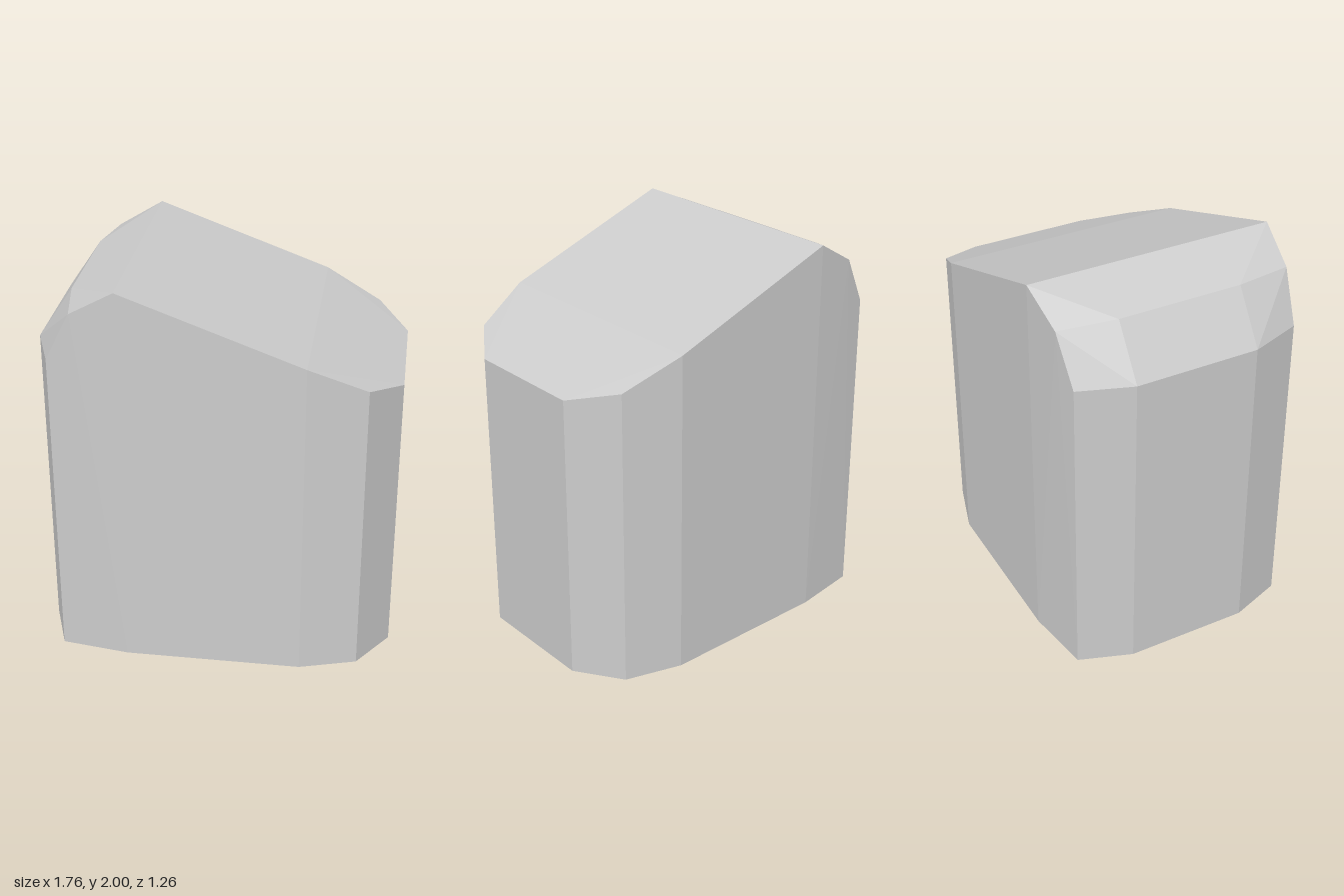
import * as THREE from 'three';
import { ConvexGeometry } from 'three/addons/geometries/ConvexGeometry.js';

// Faceted block with a chamfered footprint and an off-centre ridge on top.
export function createModel() {
  const group = new THREE.Group();
  group.name = 'slantedBlock';

  // Half footprint: [x, z, height of the wall above it]
  const walls = [
    [0.88, 0.315, 1.475],
    [0.725, 0.545, 1.54],
    [0.44, 0.63, 1.675],
    [-0.445, 0.63, 2],
    [-0.79, 0.58, 1.625],
    [-0.885, 0.315, 1.625],
  ];
  // Shoulder between the ridge and the left-hand wall: [x, z, y]
  const shoulder = [
    [-0.665, 0.602, 1.872],
    [-0.715, 0.315, 1.88],
  ];

  // Mirror front to back; the solid is the hull of all corners
  const points = [];
  for (const side of [1, -1]) {
    for (const [x, z, y] of walls) {
      points.push(new THREE.Vector3(x, 0, z * side), new THREE.Vector3(x, y, z * side));
    }
    for (const [x, z, y] of shoulder) points.push(new THREE.Vector3(x, y, z * side));
  }

  const body = new THREE.Mesh(
    new ConvexGeometry(points),
    new THREE.MeshStandardMaterial({ color: 0xcccccc, flatShading: true })
  );
  body.name = 'body';
  group.add(body);
  return group;
}
